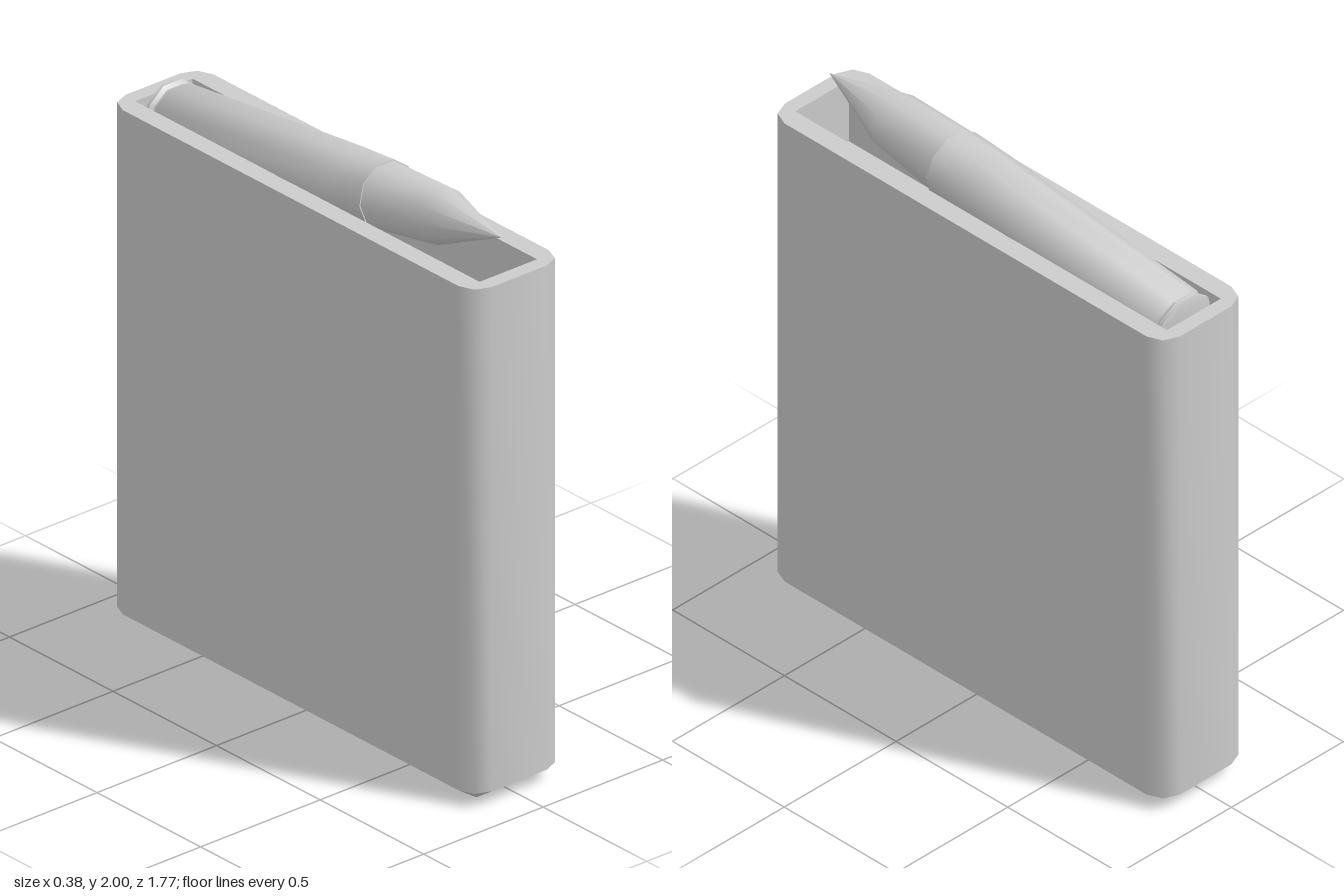
import * as THREE from 'three';
import { toCreasedNormals } from 'three/addons/utils/BufferGeometryUtils.js';

const CREASE = 0.85;
const grey = new THREE.MeshStandardMaterial({ color: 0xcccccc });

// Rectangle outline with two-step rounded corners (12 points) at height y
function ring(y, halfX, halfZ, r) {
  const points = [];
  for (let corner = 0; corner < 4; corner++) {
    const sx = corner === 0 || corner === 3 ? 1 : -1;
    const sz = corner < 2 ? 1 : -1;
    for (let k = 0; k < 3; k++) {
      const a = corner * Math.PI / 2 + k * Math.PI / 4;
      points.push([sx * (halfX - r) + r * Math.cos(a), y, sz * (halfZ - r) + r * Math.sin(a)]);
    }
  }
  return points;
}

// Joins successive rings, outside facing out
function loft(rings) {
  const pos = [];
  const n = rings[0].length;
  for (let i = 0; i < rings.length - 1; i++) {
    for (let j = 0; j < n; j++) {
      const k = (j + 1) % n;
      const [a, b, c, d] = [rings[i][j], rings[i][k], rings[i + 1][k], rings[i + 1][j]];
      pos.push(...a, ...c, ...b, ...a, ...d, ...c);
    }
  }
  const geo = new THREE.BufferGeometry();
  geo.setAttribute('position', new THREE.Float32BufferAttribute(pos, 3));
  return toCreasedNormals(geo, CREASE);
}

// Ten-sided turned part along z, with a flat facet on top
function turned(name, profile) {
  const geo = new THREE.LatheGeometry(profile.map(([r, t]) => new THREE.Vector2(r, t)), 10, Math.PI / 10);
  geo.rotateX(Math.PI / 2);
  const mesh = new THREE.Mesh(toCreasedNormals(geo, CREASE), grey);
  mesh.name = name;
  return mesh;
}

export function createModel() {
  const model = new THREE.Group();
  model.name = 'magazine';

  // Box body: chamfered base, straight walls, rim and open well
  const body = new THREE.Mesh(loft([
    ring(0, 0, 0, 0),
    ring(0, 0.115, 0.81, 0),
    ring(0.05, 0.19, 0.885, 0.075),
    ring(1.84, 0.19, 0.885, 0.075),
    ring(1.84, 0.12, 0.832, 0),
    ring(1.6, 0.12, 0.832, 0),
    ring(1.6, 0, 0, 0),
  ]), grey);
  body.name = 'magazineBody';
  model.add(body);

  // Tilted round, measured back from its tip
  const round = new THREE.Group();
  round.name = 'cartridge';
  round.add(turned('bullet', [[0, -0.57], [0.114, -0.56], [0.097, -0.29], [0, 0]]));
  round.add(turned('cartridgeCase', [
    [0, -1.605], [0.105, -1.605], [0.125, -1.597], [0.125, -1.585],
    [0.112, -1.575], [0.112, -1.565], [0.121, -1.55],
    [0.122, -0.7], [0.118, -0.555], [0, -0.555],
  ]));
  round.position.set(0, 1.945, 0.8);
  round.rotation.x = -THREE.MathUtils.degToRad(6.5);
  model.add(round);

  return model;
}
